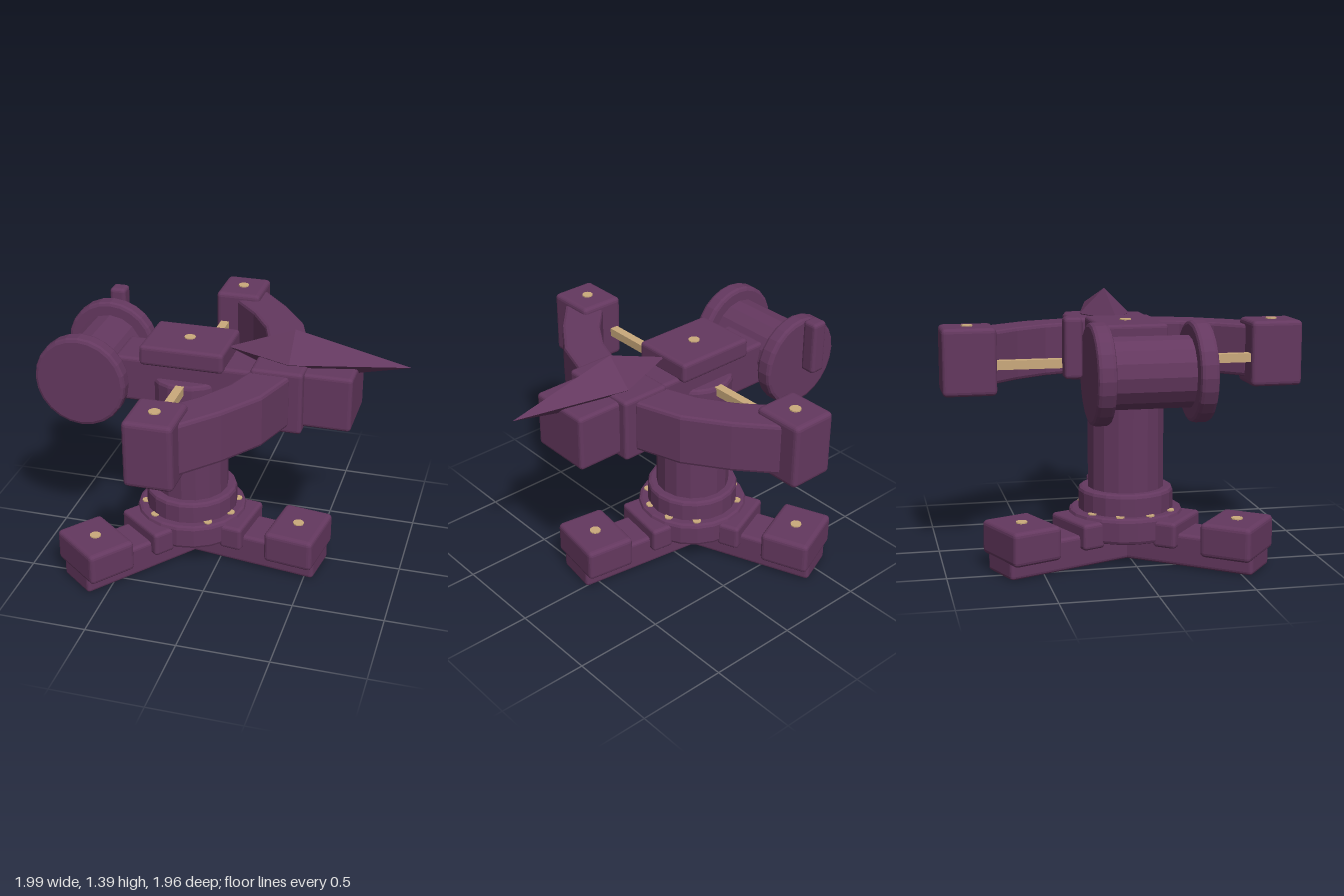
import * as THREE from 'three';
import { RoundedBoxGeometry } from 'three/addons/geometries/RoundedBoxGeometry.js';

export function createModel() {
  const purple = new THREE.MeshStandardMaterial({ color: 0x64385f });
  purple.name = 'purple timber';
  purple.flatShading = true;
  const tan = new THREE.MeshStandardMaterial({ color: 0xcbaa7c });
  tan.name = 'tan brass';
  tan.flatShading = true;

  const model = new THREE.Group();
  model.name = 'ballista';
  const deg = Math.PI / 180;
  const cx = -0.21; // pedestal axis

  function add(parent, name, geometry, material = purple) {
    const mesh = new THREE.Mesh(geometry, material);
    mesh.name = name;
    parent.add(mesh);
    return mesh;
  }

  // Rounded block given by its extents on each axis
  function block(parent, name, [x0, x1], [y0, y1], [z0, z1], r = 0.02) {
    const mesh = add(parent, name, new RoundedBoxGeometry(x1 - x0, y1 - y0, z1 - z0, 2, r));
    mesh.position.set((x0 + x1) / 2, (y0 + y1) / 2, (z0 + z1) / 2);
    return mesh;
  }

  // Upright drum with softened rims
  function drum(parent, name, radius, y0, y1, bevel = 0.02, sides = 20) {
    const profile = [
      [0, y0], [radius - bevel, y0], [radius - bevel * 0.3, y0 + bevel * 0.3], [radius, y0 + bevel],
      [radius, y1 - bevel], [radius - bevel * 0.3, y1 - bevel * 0.3], [radius - bevel, y1], [0, y1],
    ].map(([x, y]) => new THREE.Vector2(x, y));
    return add(parent, name, new THREE.LatheGeometry(profile, sides));
  }

  function bolt(parent, x, y, z, radius = 0.031) {
    const mesh = add(parent, 'bolt', new THREE.CylinderGeometry(radius, radius, 0.018, 10), tan);
    mesh.position.set(x, y, z);
  }

  // Three-legged base with feet and hub clamps
  for (const angle of [8, 128, 248]) {
    const leg = new THREE.Group();
    leg.name = 'leg';
    leg.position.x = cx;
    leg.rotation.y = -angle * deg;
    model.add(leg);
    block(leg, 'legBeam', [-0.02, 0.785], [0, 0.175], [-0.125, 0.125]);
    block(leg, 'foot', [0.51, 0.79], [0.08, 0.262], [-0.178, 0.178], 0.025);
    block(leg, 'hubClamp', [0.24, 0.37], [0.1, 0.24], [-0.17, 0.17]);
    bolt(leg, 0.65, 0.26, 0);
  }

  // Pedestal
  const pedestal = new THREE.Group();
  pedestal.name = 'pedestal';
  pedestal.position.x = cx;
  model.add(pedestal);
  drum(pedestal, 'hub', 0.31, 0.12, 0.26);
  drum(pedestal, 'columnCollar', 0.257, 0.24, 0.378);
  drum(pedestal, 'column', 0.207, 0.3, 0.97, 0.005, 16);
  drum(pedestal, 'columnHead', 0.215, 0.93, 1.08);
  for (const a of [18, 54, 126, 162, 198, 234, 306, 342]) {
    bolt(pedestal, 0.262 * Math.cos(a * deg), 0.258, 0.262 * Math.sin(a * deg), 0.024);
  }

  // Stock, top plate, bow clamp and nose
  block(model, 'stock', [-0.6, 0.5], [0.925, 1.182], [-0.14, 0.14]);
  block(model, 'topPlate', [-0.443, 0.02], [1.165, 1.277], [-0.18, 0.18]);
  bolt(model, cx, 1.274, 0);
  block(model, 'bowClamp', [0.18, 0.46], [0.895, 1.245], [-0.23, 0.23]);
  block(model, 'nose', [0.4, 0.712], [0.92, 1.226], [-0.18, 0.18]);

  // Curved bow, outer edge then inner edge
  const outer = [[-0.04, 0.88], [0.0, 0.87], [0.16, 0.69], [0.31, 0.475], [0.39, 0.235]];
  const inner = [[0.18, 0.18], [0.11, 0.38], [0, 0.55], [-0.13, 0.69]];
  const flip = (points) => points.map(([x, z]) => [x, -z]).reverse();
  const outline = [...outer, ...flip(outer), ...flip(inner), ...inner];
  const bowShape = new THREE.Shape(outline.map(([x, z]) => new THREE.Vector2(x, z)));
  const bow = add(model, 'bow', new THREE.ExtrudeGeometry(bowShape, {
    depth: 0.25, bevelEnabled: true, bevelThickness: 0.018, bevelSize: 0.018, bevelOffset: -0.018, bevelSegments: 2,
  }).rotateX(-Math.PI / 2));
  bow.position.y = 0.955;

  // Bow tips
  for (const side of [-1, 1]) {
    const tip = block(model, 'bowTip', [-0.263, -0.005], [0.897, 1.255], [-0.143, 0.143], 0.025);
    tip.position.z = side * 0.835;
    bolt(model, -0.135, 1.253, side * 0.835);
  }

  // Bowstring
  const string = add(model, 'bowstring', new THREE.BoxGeometry(0.048, 0.048, 1.5), tan);
  string.position.set(cx, 1.055, 0);

  // Four-sided bolt head, long toward its point
  const headGeometry = new THREE.OctahedronGeometry(1);
  const p = headGeometry.attributes.position;
  for (let i = 0; i < p.count; i++) {
    const x = p.getX(i);
    p.setXYZ(i, x * (x > 0 ? 0.62 : 0.365), p.getY(i) * 0.143, p.getZ(i) * 0.143);
  }
  headGeometry.computeVertexNormals();
  add(model, 'arrowHead', headGeometry).position.set(0.368, 1.25, 0);

  // Winch spool lying across the rear
  const winch = new THREE.Group();
  winch.name = 'winch';
  winch.position.set(-0.743, 1.075, 0);
  winch.rotation.x = Math.PI / 2;
  model.add(winch);
  drum(winch, 'spool', 0.183, -0.25, 0.25, 0.005, 16);
  drum(winch, 'flange', 0.256, -0.3, -0.205, 0.02, 24);
  drum(winch, 'flange', 0.256, 0.205, 0.3, 0.02, 24);
  block(model, 'winchHandle', [-0.79, -0.698], [1.06, 1.362], [-0.427, -0.336]);

  return model;
}
